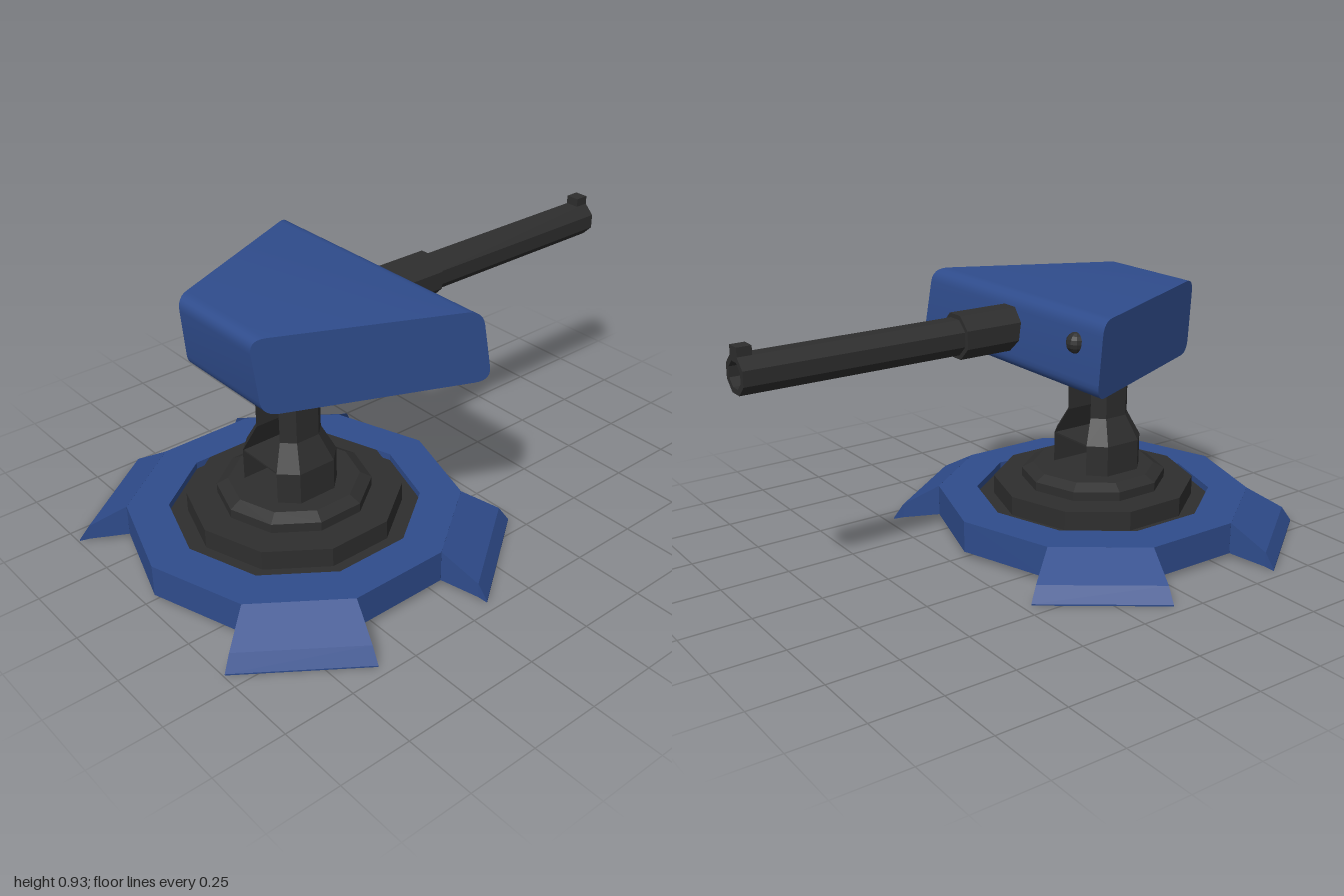
import * as THREE from 'three';
import { toCreasedNormals } from 'three/addons/utils/BufferGeometryUtils.js';

const BLUE = 0x2f4c8c, DARK = 0x2e2e2e;
const BASE_Z = 0.388, GUN_Y = 0.81;

const material = (color, flatShading = true, side = THREE.FrontSide) =>
  new THREE.MeshStandardMaterial({ color, flatShading, side });

function addMesh(parent, name, geometry, mat, x = 0, y = 0, z = 0) {
  const mesh = new THREE.Mesh(geometry, mat);
  mesh.name = name;
  mesh.position.set(x, y, z);
  parent.add(mesh);
  return mesh;
}

// Solid through equal-length loops, each counterclockwise seen from the last loop's end
function loft(loops) {
  const n = loops[0].length, index = [];
  for (let i = 0; i < loops.length - 1; i++) {
    for (let j = 0; j < n; j++) {
      const a = i * n + j, b = i * n + (j + 1) % n;
      index.push(a, b, b + n, a, b + n, a + n);
    }
  }
  const last = (loops.length - 1) * n;
  for (let j = 1; j < n - 1; j++) {
    index.push(0, j + 1, j, last, last + j, last + j + 1);
  }
  const geometry = new THREE.BufferGeometry();
  geometry.setAttribute('position', new THREE.Float32BufferAttribute(loops.flat(2), 3));
  geometry.setIndex(index);
  const flat = geometry.toNonIndexed();
  flat.computeVertexNormals();
  return flat;
}

const lathe = (points, sides) =>
  new THREE.LatheGeometry(points.map(([r, y]) => new THREE.Vector2(r, y)), sides);

// Closed polygon with rounded corners
function roundedShape(corners, radius) {
  const pts = corners.map(([x, y]) => new THREE.Vector2(x, y));
  const shape = new THREE.Shape();
  pts.forEach((p, i) => {
    const toward = (q) => p.clone().add(q.clone().sub(p).setLength(radius));
    const start = toward(pts[(i + pts.length - 1) % pts.length]);
    const end = toward(pts[(i + 1) % pts.length]);
    if (i === 0) shape.moveTo(start.x, start.y);
    else shape.lineTo(start.x, start.y);
    shape.quadraticCurveTo(p.x, p.y, end.x, end.y);
  });
  shape.closePath();
  return shape;
}

function buildBase() {
  const base = new THREE.Group();
  base.name = 'base';
  base.position.z = BASE_Z;

  // Ten-sided open shell
  addMesh(base, 'baseShell', lathe([[0.577, 0.02], [0.577, 0.135], [0.433, 0.135], [0.433, 0.11]], 10),
    material(BLUE, true, THREE.DoubleSide));

  // Stepped turntable, hollow underneath
  addMesh(base, 'turntable', lathe([[0.433, 0.11], [0.37, 0.11], [0.37, 0.18], [0.265, 0.18],
    [0.265, 0.213], [0.225, 0.235], [0, 0.235]], 10), material(DARK, true, THREE.DoubleSide));

  // Flared feet: distance outward, half width, bottom, top
  const foot = loft([[0.549, 0.178, 0.02, 0.135], [0.68, 0.217, 0.005, 0.058], [0.713, 0.232, 0, 0.005]]
    .map(([z, w, lo, hi]) => [[-w, lo, z], [w, lo, z], [w, hi, z], [-w, hi, z]]));
  for (const degrees of [54, 126, -126, -54]) {
    addMesh(base, 'foot', foot, material(BLUE)).rotation.y = THREE.MathUtils.degToRad(degrees);
  }
  return base;
}

function buildYoke() {
  const yoke = new THREE.Group();
  yoke.name = 'yoke';
  yoke.position.z = 0.403;

  // Arm sections: height, inner x, outer x, inner half depth, outer half depth
  const arm = loft([[0.23, 0.095, 0.15, 0.125, 0.07], [0.347, 0.095, 0.15, 0.125, 0.07],
    [0.437, 0.065, 0.105, 0.085, 0.045], [0.69, 0.065, 0.105, 0.085, 0.045]]
    .map(([y, a, b, h, k]) => [[b, y, k], [b, y, -k], [a, y, -h], [a, y, h]]));
  for (const turn of [0, Math.PI]) addMesh(yoke, 'yokeArm', arm, material(DARK)).rotation.y = turn;

  // Thin cross plate and head mount
  addMesh(yoke, 'crossPlate', new THREE.BoxGeometry(0.2, 0.006, 0.24), material(DARK), 0, 0.344, 0);
  addMesh(yoke, 'headMount', new THREE.BoxGeometry(0.16, 0.03, 0.17), material(DARK), 0, 0.668, 0);
  return yoke;
}

function buildHead() {
  // Rounded side profile, extruded across and tapered toward the front
  const profile = roundedShape([[-0.022, 0.678], [0.645, 0.663], [0.673, 0.928], [0.012, 0.928]], 0.05);
  const geometry = new THREE.ExtrudeGeometry(profile, { depth: 2, bevelEnabled: false, curveSegments: 6 });
  const pos = geometry.attributes.position;
  for (let i = 0; i < pos.count; i++) {
    const z = pos.getX(i), y = pos.getY(i), across = 1 - pos.getZ(i);
    pos.setXYZ(i, across * (0.513 - (z + 0.02) * 0.468), y, z);
  }
  return toCreasedNormals(geometry, 0.6);
}

function buildGun() {
  const gun = new THREE.Group();
  gun.name = 'gun';
  gun.position.y = GUN_Y;

  // Eight-sided tubes pointing backward, flats on top and sides
  const tube = (name, points) => {
    const geometry = lathe(points, 8).rotateY(Math.PI / 8).rotateX(-Math.PI / 2);
    addMesh(gun, name, geometry, material(DARK));
  };
  tube('sleeve', [[0, -0.05], [0.081, -0.05], [0.081, 0.215], [0, 0.215]]);
  tube('barrel', [[0.065, 0.2], [0.065, 1], [0.045, 1], [0.045, 0.85], [0, 0.85]]);
  addMesh(gun, 'muzzleSight', new THREE.BoxGeometry(0.05, 0.04, 0.05), material(DARK), 0, 0.07, -0.975);
  return gun;
}

export function createModel() {
  const model = new THREE.Group();
  model.name = 'turret';
  model.add(buildBase(), buildYoke(), buildGun());
  addMesh(model, 'head', buildHead(), material(BLUE, false));
  // Small sensor on the back of the head
  addMesh(model, 'sensor', new THREE.SphereGeometry(0.036, 10, 8), material(DARK), -0.37, 0.835, 0.006);
  return model;
}
